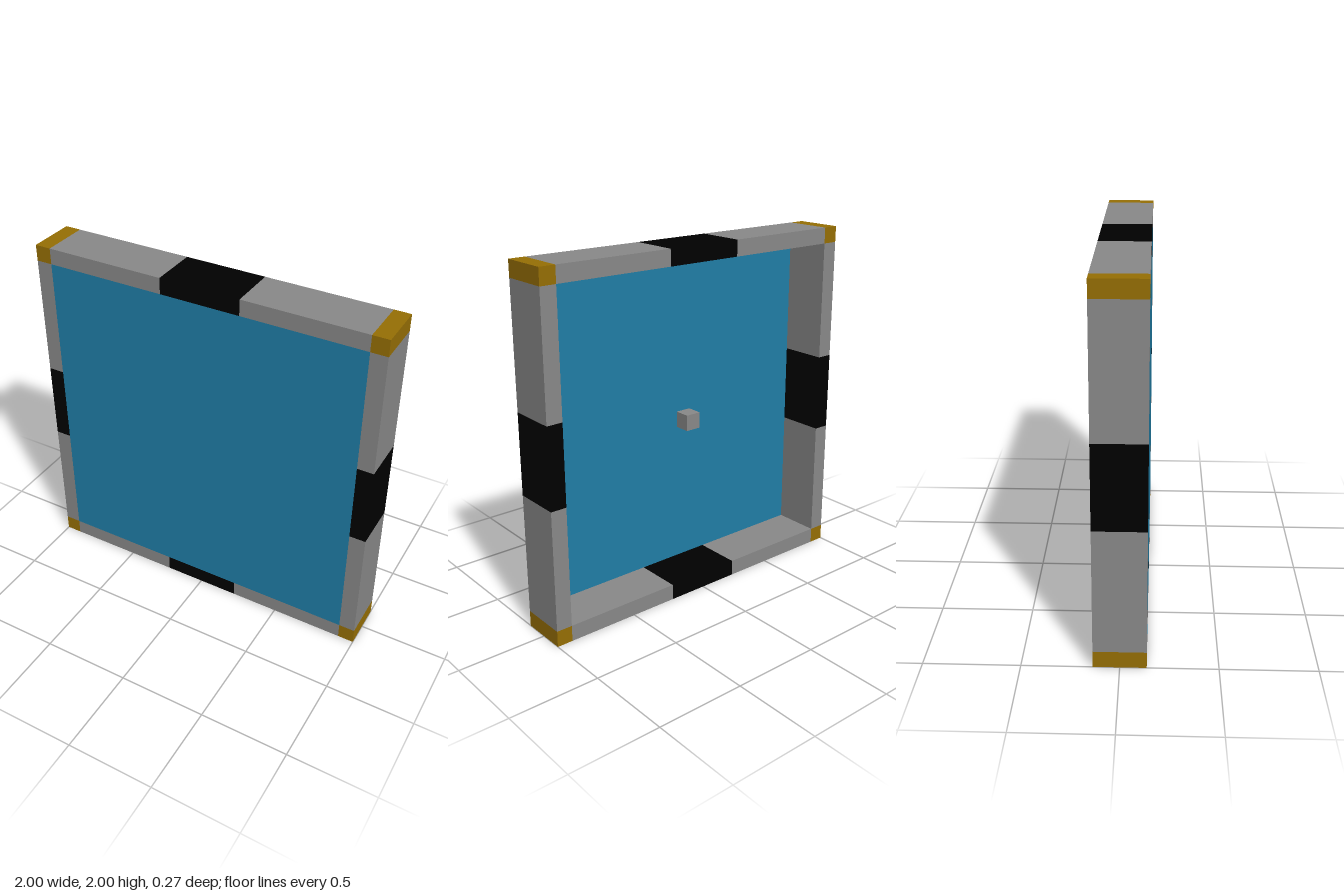
import * as THREE from 'three';

const U = 1 / 11; // one frame thickness; the frame is 22 x 22 x 3 of these

export function createModel() {
  const group = new THREE.Group();
  const grey = new THREE.MeshStandardMaterial({ color: 0x888888 });
  const black = new THREE.MeshStandardMaterial({ color: 0x000000 });
  const gold = new THREE.MeshStandardMaterial({ color: 0x956e04 });
  const blue = new THREE.MeshStandardMaterial({ color: 0x207da6, side: THREE.DoubleSide });

  const add = (name, geometry, material, x, y, z = 0) => {
    const mesh = new THREE.Mesh(geometry, material);
    mesh.name = name;
    mesh.position.set(x * U, 1 + y * U, z * U);
    group.add(mesh);
  };
  const box = (w, h, d) => new THREE.BoxGeometry(w * U, h * U, d * U);

  for (const s of [-1, 1]) {
    const side = s > 0 ? 'left' : 'right';
    const level = s > 0 ? 'top' : 'bottom';

    // Dark centre blocks of the four sides
    add(`${side}CentreBlock`, box(1, 5, 3), black, s * 10.5, 0);
    add(`${level}CentreBlock`, box(5, 1, 3), black, 0, s * 10.5);

    for (const t of [-1, 1]) {
      // Grey rails between centre blocks and corners
      add(`${side}Rail`, box(1, 7.5, 3), grey, s * 10.5, t * 6.25);
      add(`${level}Rail`, box(7.5, 1, 3), grey, t * 6.25, s * 10.5);
      // Gold corners
      add('cornerBlock', box(1, 1, 3), gold, s * 10.5, t * 10.5);
    }
  }

  // Thin panel flush with the front of the frame
  add('panel', new THREE.PlaneGeometry(20 * U, 20 * U), blue, 0, 0, 1.5);

  // Small cube in the middle of the recess
  add('centreCube', box(1, 1, 1), grey, 0, 0);

  return group;
}
